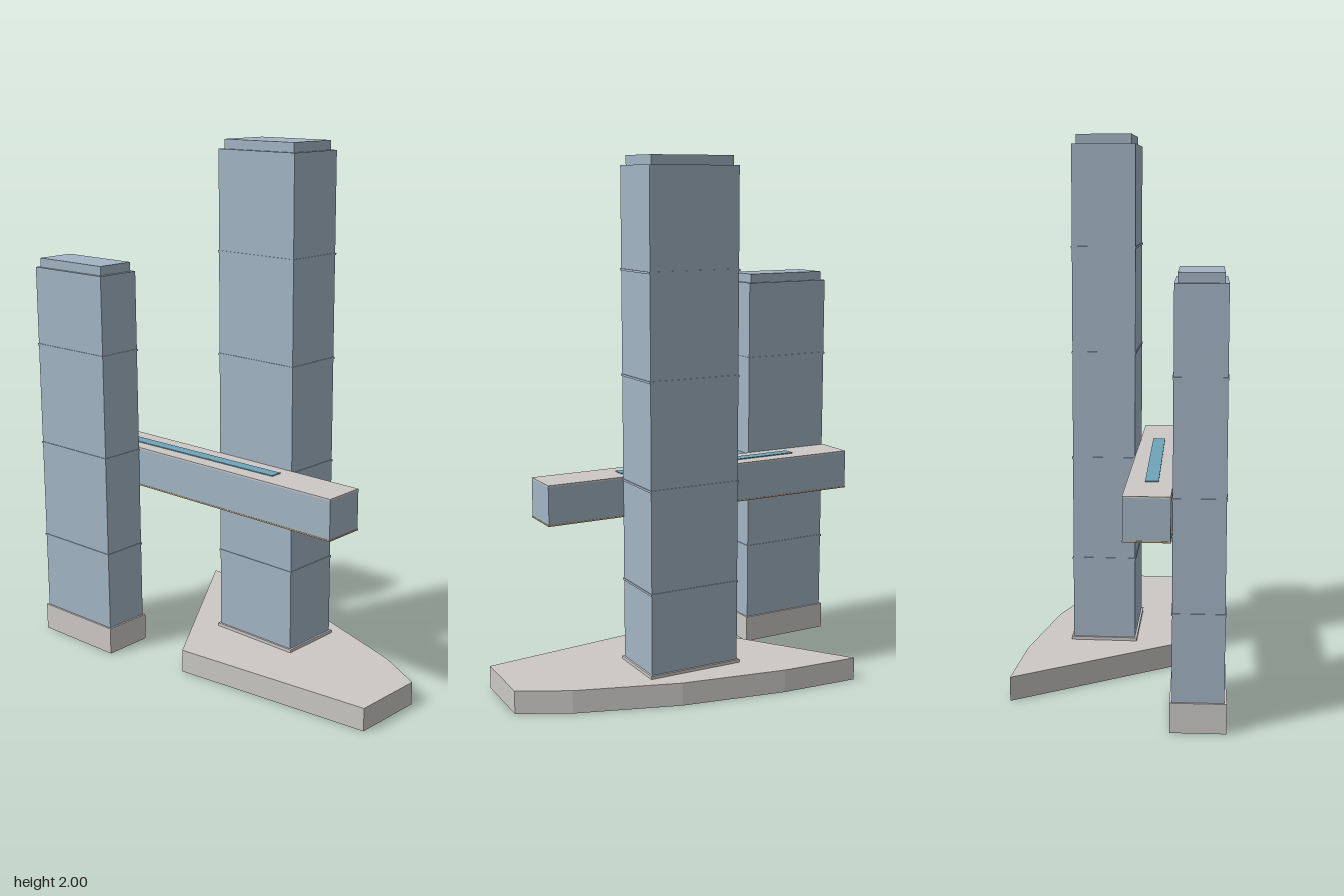
import * as THREE from 'three';

const mat = (name, color, side = THREE.FrontSide) => {
  const m = new THREE.MeshStandardMaterial({ color, side });
  m.name = name;
  return m;
};

export function createModel() {
  const glass = mat('blue glass', 0xa2b4c4, THREE.DoubleSide);
  const stone = mat('pale stone', 0xcbc8c5, THREE.DoubleSide);
  const water = mat('pool water', 0x6fa5b9);
  const trim = mat('tan trim', 0xc2a878);
  const model = new THREE.Group();

  const add = (parent, name, geometry, material, x = 0, y = 0, z = 0) => {
    const mesh = new THREE.Mesh(geometry, material);
    mesh.name = name;
    mesh.position.set(x, y, z);
    parent.add(mesh);
    return mesh;
  };
  const group = (name, x, z, turn) => {
    const g = new THREE.Group();
    g.name = name;
    g.position.set(x, 0, z);
    g.rotation.y = turn;
    model.add(g);
    return g;
  };

  // box standing on its origin, without its bottom face
  const openBox = (w, h, d) => {
    const g = new THREE.BoxGeometry(w, h, d).translate(0, h / 2, 0);
    const index = Array.from(g.index.array);
    index.splice(18, 6);
    g.setIndex(index);
    g.clearGroups();
    return g;
  };
  const rectPoints = (w, d) => [[-1, -1], [1, -1], [1, 1], [-1, 1]]
    .map(([x, y]) => new THREE.Vector2(x * w / 2, y * d / 2));

  // tower: hollow collar, open shaft, storey bands and stepped crown
  const tower = (name, { x, z, turn, w, d, top, collarTop, crownIn, bands }) => {
    const g = group(name, x, z, turn);
    const ring = new THREE.Shape(rectPoints(w + 0.015, d + 0.015));
    ring.holes.push(new THREE.Path(rectPoints(w - 0.004, d - 0.004)));
    const collar = new THREE.ExtrudeGeometry(ring, { depth: collarTop, bevelEnabled: false });
    add(g, 'collar', collar.rotateX(-Math.PI / 2), stone);
    add(g, 'shaft', openBox(w, top - 0.035 - collarTop, d), glass, 0, collarTop, 0);
    add(g, 'crown', openBox(w - crownIn, 0.035, d - crownIn), glass, 0, top - 0.035, 0);
    for (const y of bands) {
      add(g, 'storeyBand', new THREE.BoxGeometry(w + 0.006, 0.008, d + 0.006), glass, 0, y, 0);
    }
  };
  const tall = { x: 0.06, z: 0.088, turn: -0.04, w: 0.235, d: 0.363, top: 2,
    collarTop: 0.1, crownIn: 0.03, bands: [0.41, 0.8, 1.2, 1.59] };
  tower('tallTower', tall);
  tower('shortTower', { x: -0.287, z: -0.573, turn: -0.02, w: 0.178, d: 0.366, top: 1.54,
    collarTop: 0.105, crownIn: 0.026, bands: [0.41, 0.8, 1.2] });

  // podium: hollow angular base with an opening under the tall tower
  const podium = group('podium', 0, 0, 0);
  const H = 0.088;
  const plan = [[0.38, -0.505], [0.35, -0.2], [0.265, 0.2], [0.125, 0.58],
    [0.02, 0.763], [-0.258, 0.745], [-0.32, -0.06]];
  const deck = new THREE.Shape(plan.map(([x, z]) => new THREE.Vector2(x, -z)));
  const opening = rectPoints(tall.w, tall.d).map((p) =>
    p.rotateAround(new THREE.Vector2(), tall.turn).add(new THREE.Vector2(tall.x, -tall.z)));
  deck.holes.push(new THREE.Path(opening));
  add(podium, 'podiumDeck', new THREE.ShapeGeometry(deck).rotateX(-Math.PI / 2), stone, 0, H, 0);
  const corners = [];
  plan.forEach(([x, z], i) => {
    const [u, v] = plan[(i + 1) % plan.length];
    corners.push(x, 0, z, x, H, z, u, 0, v, u, 0, v, x, H, z, u, H, v);
  });
  const walls = new THREE.BufferGeometry();
  walls.setAttribute('position', new THREE.Float32BufferAttribute(corners, 3));
  walls.computeVertexNormals();
  add(podium, 'podiumWalls', walls, stone);

  // long bridge beam with a roof deck, a tan bottom edge and a pool
  const bridge = group('bridge', -0.131, -0.094, -0.033);
  const W = 0.16, L = 1.325;
  add(bridge, 'bridgeBody', new THREE.BoxGeometry(W, 0.146, L), glass, 0, 0.731, 0);
  add(bridge, 'bridgeRoof', new THREE.BoxGeometry(W, 0.006, L), stone, 0, 0.807, 0);
  for (const s of [-1, 1]) {
    add(bridge, 'sideTrim', new THREE.BoxGeometry(0.003, 0.005, L + 0.004), trim, s * W / 2, 0.6575, 0);
    add(bridge, 'endTrim', new THREE.BoxGeometry(W, 0.005, 0.003), trim, 0, 0.6575, s * L / 2);
  }
  const pool = add(model, 'pool', new THREE.BoxGeometry(0.047, 0.004, 0.785), water, -0.129, 0.8115, -0.144);
  pool.rotation.y = -0.017;

  return model;
}
